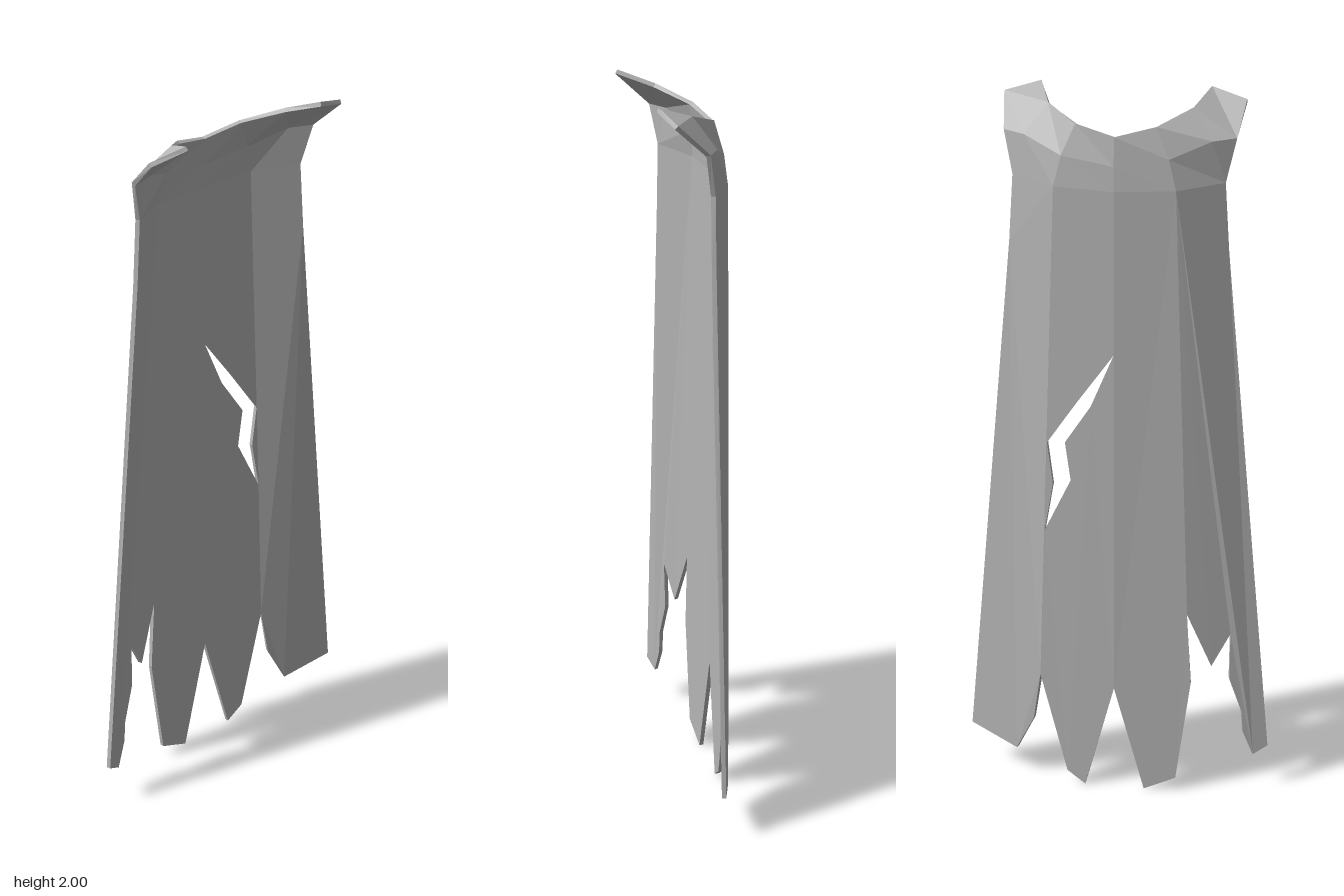
import * as THREE from 'three';

const THICKNESS = 0.012;

// Fold line between the middle and side panels, drifting outward toward the hem
const foldX = (y) => 0.21 - 0.05 * (y - 0.35) / 1.43;
const edgeX = (y) => 0.43 - 0.15 * (y - 0.13) / 1.65;

// Depth of the draped cloth: nearly flat in the middle, wrapping forward at the sides
function drapeZ(x, y) {
  const a = Math.abs(x), f = foldX(y), e = edgeX(y);
  if (a <= f) return -0.113 + 0.015 * a / f;
  return -0.098 + 0.066 * Math.min(1, (a - f) / (e - f));
}

const mirror = (loop) => loop.map(([x, y, z]) => [-x, y, z]);

// Builds a thin slab from flat loops; walls appear only on edges that no other loop shares
function clothGeometry(loops) {
  const verts = [], ids = new Map(), tris = [];
  const idOf = ([x, y, z = drapeZ(x, y)]) => {
    const key = `${x.toFixed(3)},${y.toFixed(3)}`;
    if (!ids.has(key)) {
      ids.set(key, verts.length);
      verts.push(new THREE.Vector3(x, y, z));
    }
    return ids.get(key);
  };
  for (const loop of loops) {
    const index = loop.map(idOf);
    const flat = loop.map(([x, y]) => new THREE.Vector2(x, y));
    if (THREE.ShapeUtils.isClockWise(flat)) { flat.reverse(); index.reverse(); }
    for (const [a, b, c] of THREE.ShapeUtils.triangulateShape(flat, [])) {
      const ccw = !THREE.ShapeUtils.isClockWise([flat[a], flat[b], flat[c]]);
      tris.push(ccw ? [index[a], index[b], index[c]] : [index[a], index[c], index[b]]);
    }
  }

  // Inner layer is the outer layer pushed along averaged normals
  const normals = verts.map(() => new THREE.Vector3());
  const edges = new Set();
  for (const [a, b, c] of tris) {
    const n = verts[b].clone().sub(verts[a]).cross(verts[c].clone().sub(verts[a]));
    for (const i of [a, b, c]) normals[i].add(n);
    for (const [p, q] of [[a, b], [b, c], [c, a]]) edges.add(`${p},${q}`);
  }
  const inner = verts.map((v, i) => v.clone().addScaledVector(normals[i].normalize(), THICKNESS));

  const position = [];
  const face = (...points) => points.forEach((p) => position.push(p.x, p.y, p.z));
  for (const [a, b, c] of tris) {
    face(inner[a], inner[b], inner[c]);
    face(verts[a], verts[c], verts[b]);
  }
  for (const edge of edges) {
    const [p, q] = edge.split(',').map(Number);
    if (edges.has(`${q},${p}`)) continue;
    face(inner[p], verts[p], verts[q]);
    face(inner[p], verts[q], inner[q]);
  }
  const geometry = new THREE.BufferGeometry();
  geometry.setAttribute('position', new THREE.Float32BufferAttribute(position, 3));
  geometry.computeVertexNormals();
  return geometry;
}

export function createModel() {
  const cloth = new THREE.MeshStandardMaterial({ color: 0xb6b6b6, flatShading: true });
  cloth.name = 'grey cloth';

  // Collar rows on one side: top rim, bend, and the line where the drape begins
  const top = [[0.32, 1.975, 0.075], [0.225, 2, 0.1], [0.19, 1.965, 0.005], [0.105, 1.93, -0.075], [0, 1.905, -0.1]];
  const bend = [[0.305, 1.893, -0.012], [0.245, 1.89, -0.045], [0.14, 1.85, -0.092], [0, 1.83, -0.108]];
  const base = [[0.28, 1.78, -0.032], [0.16, 1.77, -0.098], [0, 1.765, -0.113]];
  const collar = [
    [top[0], top[1], top[2], bend[1], bend[0]],
    [top[2], top[3], bend[2], bend[1]],
    [top[3], top[4], bend[3], bend[2]],
    [bend[0], bend[1], base[0]],
    [bend[1], bend[2], base[1], base[0]],
    [bend[2], bend[3], base[2], base[1]],
  ];

  // Shared corners of the drape
  const tearTop = [0, 1.32], tearEnd = [foldX(0.795), 0.795];
  const hemMiddle = [0, 0.325], hemFold = [0.213, 0.345, -0.098];
  const notch = [-foldX(0.565), 0.565], sideBend = [0.292, 1.6, -0.032];

  // Middle panel on the left, parted by the long tear
  const aboveTear = [base[2], tearTop, [0.1, 1.18], [0.185, 1.055], [0.17, 0.935], tearEnd, base[1]];
  const belowTear = [tearTop, [0.063, 1.17], [0.135, 1.06], [0.12, 0.95], tearEnd,
    hemFold, [0.137, 0.043], [0.085, 0.005], hemMiddle];
  const leftSide = [base[1], tearEnd, hemFold, [0.235, 0.2], [0.29, 0.088], [0.43, 0.135], sideBend, base[0]];

  // Right half with its ragged hem
  const [rightEdge, rightFold] = mirror(base);
  const rightMiddle = [base[2], rightFold, notch, [-0.215, 0.35, -0.098], [-0.175, 0.045],
    [-0.085, 0.005], hemMiddle, tearTop];
  const rightSide = [rightFold, rightEdge, ...mirror([sideBend]), [-0.43, 0.135], [-0.39, 0.11],
    [-0.36, 0.185], [-0.355, 0.25], [-0.32, 0.355], [-0.32, 0.495], [-0.27, 0.4], notch];

  const cape = new THREE.Mesh(
    clothGeometry([...collar, ...collar.map(mirror), aboveTear, belowTear, leftSide, rightMiddle, rightSide]),
    cloth,
  );
  cape.name = 'tornCape';

  const model = new THREE.Group();
  model.name = 'cape';
  model.add(cape);
  return model;
}
